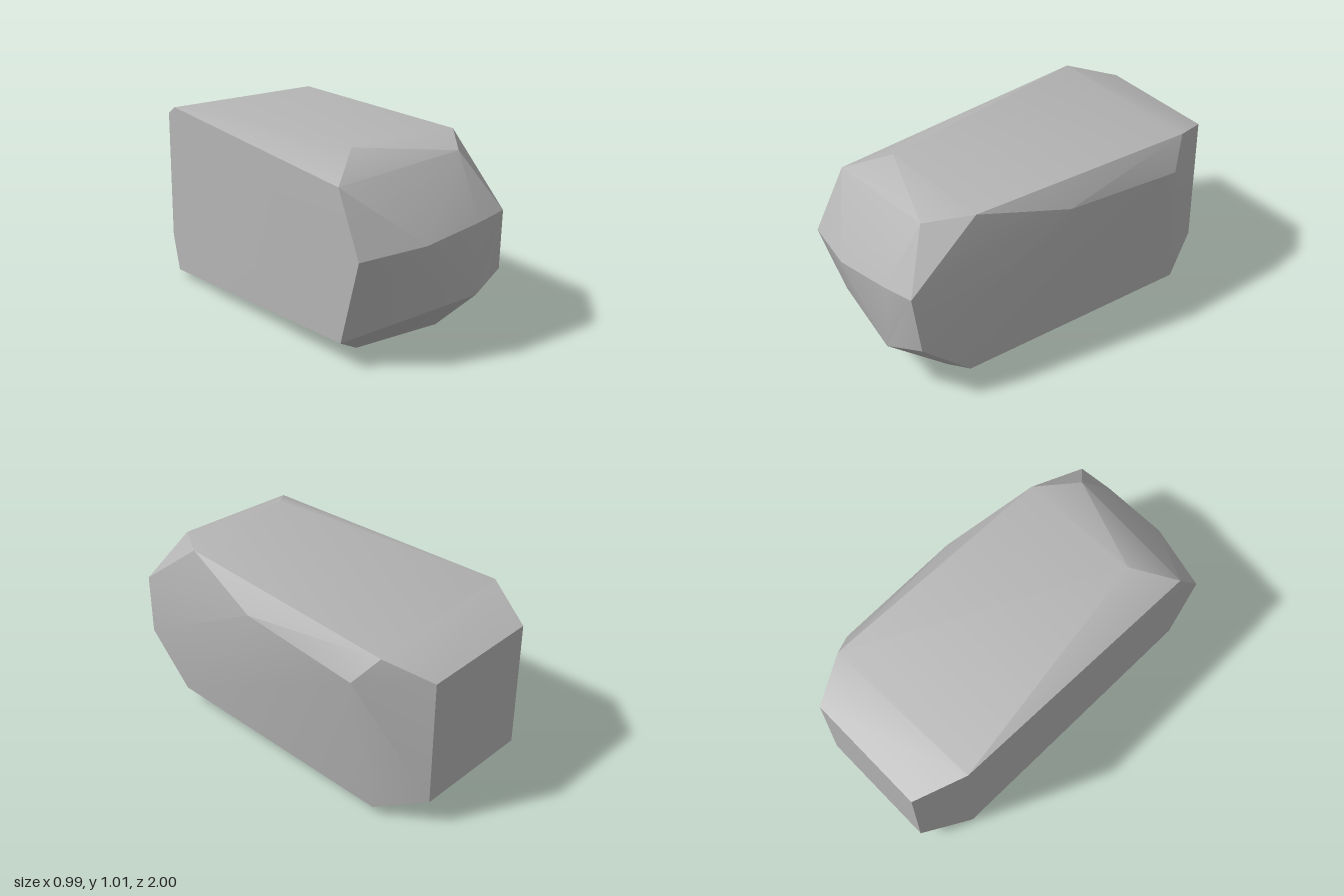
import * as THREE from 'three';
import { ConvexGeometry } from 'three/addons/geometries/ConvexGeometry.js';
import { toCreasedNormals } from 'three/addons/utils/BufferGeometryUtils.js';

export function createModel() {
  const stone = new THREE.MeshStandardMaterial({ color: 0xb4b4b4 });
  stone.name = 'grey stone';

  // Corners of the chipped block, grouped by region
  const corners = [
    // top rim
    [-0.28, 1.015, 0.58], [0.38, 1.0, 0.55], [0.41, 0.96, -0.76], [-0.495, 0.975, -0.73],
    // front upper bevel
    [0.23, 0.96, 0.77], [-0.49, 0.9, 0.76],
    // front ridge
    [-0.497, 0.58, 0.93], [-0.15, 0.61, 1.0], [0.2, 0.65, 0.97], [0.38, 0.67, 0.94],
    // front lower bevel
    [0.4, 0.35, 0.905], [0.19, 0.28, 0.975], [-0.497, 0.13, 0.79],
    // bulge of the +x side
    [0.487, 0.875, 0.05], [0.493, 0.81, -0.645],
    // underside
    [0.415, 0.1, 0.63], [0.22, 0, 0.64], [-0.29, 0, 0.64], [0.42, 0.05, -0.74], [-0.497, 0.04, -0.73],
    // back face
    [0.29, 0.87, -1], [-0.38, 0.87, -1], [0.29, 0.15, -0.995], [-0.38, 0.15, -0.995],
  ].map((p) => new THREE.Vector3(...p));

  // Soft shading across shallow facets, crisp edges elsewhere
  const geometry = toCreasedNormals(new ConvexGeometry(corners), THREE.MathUtils.degToRad(30));
  const block = new THREE.Mesh(geometry, stone);
  block.name = 'stoneBlock';

  const model = new THREE.Group();
  model.name = 'rock';
  model.add(block);
  return model;
}
